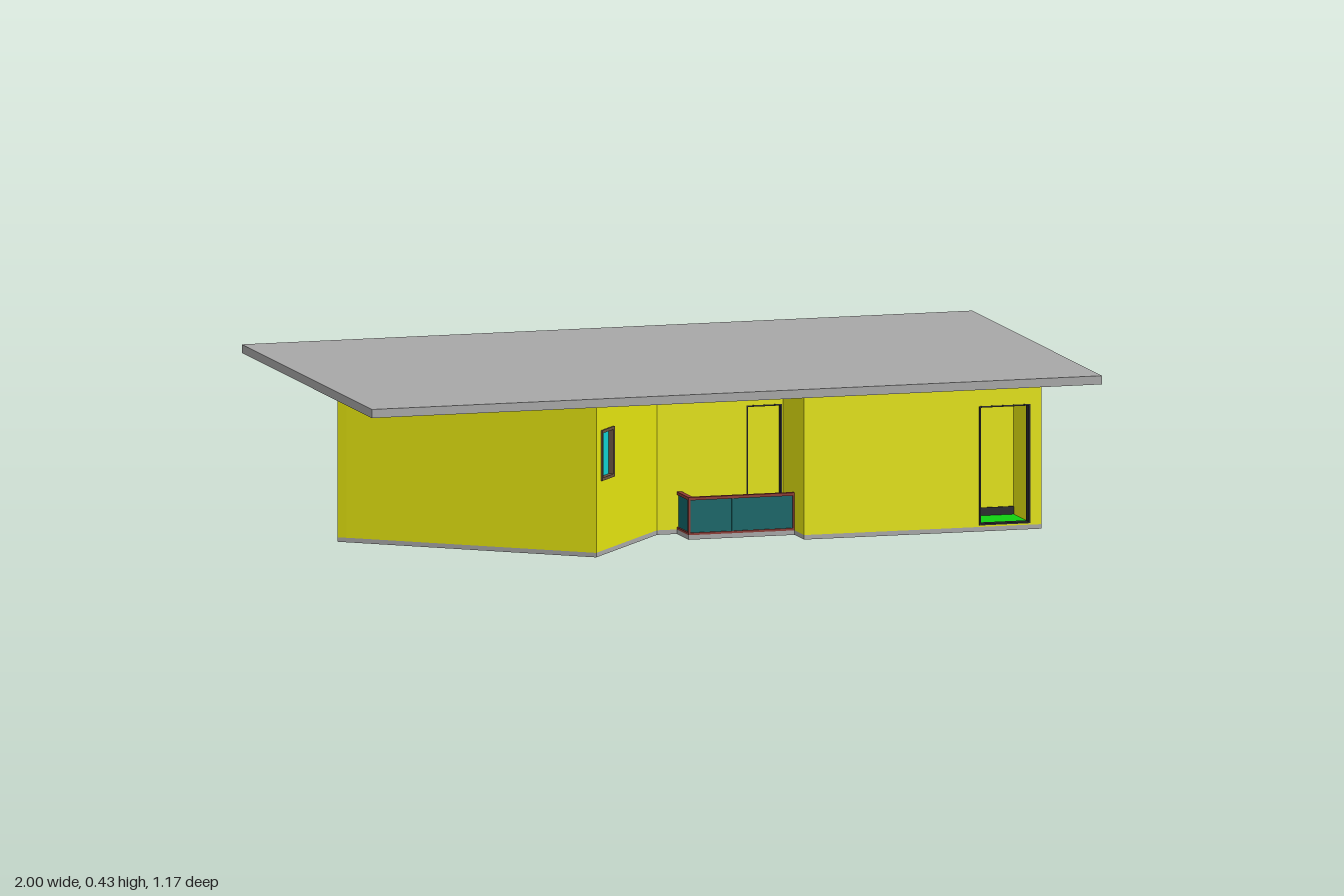
import * as THREE from 'three';

const mat = (color) => new THREE.MeshStandardMaterial({ color });
const YELLOW = mat(0xe4e410), GREY = mat(0xa8a8a8), GLASS = mat(0x10d2d2), FRAME = mat(0x6b5540);
const DARK = mat(0x26262a), GREEN = mat(0x10d010), RAIL = mat(0x8c3a34), PANEL = mat(0x0f6668);

const SLAB = 0.012, EAVE = 0.405, ROOF = 0.428, T = 0.025;

// Plan corners [x, z], walked so that each wall runs left to right seen from outside
const B = [-0.94, 0.08], A = [-0.37, 0.535], E = [-0.105, 0.21], G = [0.24, 0.21], H = [0.24, 0.4];
const I = [0.89, 0.4], J = [0.89, -0.415], F = [-0.4, -0.415], D = [-0.557, -0.22], C = [-0.635, -0.285];

function box(parent, name, material, x0, x1, y0, y1, z0, z1) {
  const mesh = new THREE.Mesh(new THREE.BoxGeometry(x1 - x0, y1 - y0, z1 - z0), material);
  mesh.position.set((x0 + x1) / 2, (y0 + y1) / 2, (z0 + z1) / 2);
  mesh.name = name;
  parent.add(mesh);
  return mesh;
}

// Border bars around an opening, in wall coordinates
function border(parent, material, { x0, x1, y0, y1 }, w, z0, z1) {
  box(parent, 'frameLeft', material, x0, x0 + w, y0, y1, z0, z1);
  box(parent, 'frameRight', material, x1 - w, x1, y0, y1, z0, z1);
  box(parent, 'frameTop', material, x0, x1, y1 - w, y1, z0, z1);
  box(parent, 'frameBottom', material, x0, x1, y0, y0 + w, z0, z1);
}

function addWindow(wall, o) {
  const g = new THREE.Group();
  g.name = 'window';
  border(g, FRAME, o, 0.008, -T, 0.004);
  box(g, 'glass', GLASS, o.x0, o.x1, o.y0, o.y1, -0.016, -0.01);
  for (let i = 1; i < o.panes; i++) {
    const x = o.x0 + ((o.x1 - o.x0) * i) / o.panes;
    box(g, 'mullion', FRAME, x - 0.003, x + 0.003, o.y0, o.y1, -0.02, -0.003);
  }
  if (o.panes > 1) box(g, 'transom', FRAME, o.x0, o.x1, 0.272, 0.279, -0.02, -0.003);
  wall.add(g);
}

function addDoor(wall, o) {
  const g = new THREE.Group();
  g.name = 'doorway';
  border(g, DARK, o, 0.004, -T, 0.001);
  if (o.closed) box(g, 'doorLeaf', YELLOW, o.x0, o.x1, o.y0, o.y1, -0.02, -0.012);
  wall.add(g);
}

// Wall from corner a to corner b, outer face at local z = 0, with openings cut through
function addWall(house, name, a, b, openings = []) {
  const dx = b[0] - a[0], dz = b[1] - a[1], len = Math.hypot(dx, dz);
  const shape = new THREE.Shape();
  shape.moveTo(0, SLAB).lineTo(len, SLAB).lineTo(len, EAVE).lineTo(0, EAVE).closePath();
  const wall = new THREE.Group();
  wall.name = name;
  for (const o of openings) {
    const hole = new THREE.Path();
    hole.moveTo(o.x0, o.y0).lineTo(o.x0, o.y1).lineTo(o.x1, o.y1).lineTo(o.x1, o.y0).closePath();
    shape.holes.push(hole);
    (o.door ? addDoor : addWindow)(wall, o);
  }
  const geo = new THREE.ExtrudeGeometry(shape, { depth: T, bevelEnabled: false });
  geo.translate(0, 0, -T);
  const mesh = new THREE.Mesh(geo, YELLOW);
  mesh.name = name + 'Panel';
  wall.add(mesh);
  wall.position.set(a[0], 0, a[1]);
  wall.rotation.y = Math.atan2(-dz, dx);
  house.add(wall);
}

const tall = (x0, x1, panes) => ({ x0, x1, y0: 0.1, y1: 0.335, panes });
const small = (x0, x1) => ({ x0, x1, y0: 0.198, y1: 0.332, panes: 1 });
const door = (x0, x1, closed) => ({ x0, x1, y0: 0.016, y1: 0.332, door: true, closed });

export function createModel() {
  const house = new THREE.Group();
  house.name = 'house';

  // Flat overhanging roof
  box(house, 'roof', GREY, -1, 1, EAVE, ROOF, -0.586, 0.586);

  // Floor slab following the plan, including the balcony
  const plan = [B, A, E, [-0.05, 0.21], [-0.05, 0.315], [0.24, 0.315], H, I, J, F, D, C];
  const slabShape = new THREE.Shape(plan.map(([x, z]) => new THREE.Vector2(x, -z)));
  const slabGeo = new THREE.ExtrudeGeometry(slabShape, { depth: SLAB, bevelEnabled: false });
  slabGeo.rotateX(-Math.PI / 2);
  const slab = new THREE.Mesh(slabGeo, GREY);
  slab.name = 'floorSlab';
  house.add(slab);

  // Angled wing
  addWall(house, 'wingFrontWall', B, A);
  addWall(house, 'wingInnerWall', A, E, [small(0.033, 0.118)]);
  addWall(house, 'wingLinkWall', F, D, [small(0.1, 0.175)]);
  addWall(house, 'wingReturnWall', D, C);
  addWall(house, 'wingBackWall', C, B, [tall(0.095, 0.385, 3)]);

  // Main body; back wall runs from x = 0.89 towards -x
  addWall(house, 'recessWall', E, G, [door(0.245, 0.342, true)]);
  addWall(house, 'recessSideWall', G, H);
  addWall(house, 'entranceWall', H, I, [door(0.48, 0.62, false)]);
  addWall(house, 'sideWall', I, J);
  addWall(house, 'backWall', J, F, [tall(0.075, 0.355, 3), tall(0.51, 0.654, 2), tall(0.813, 1.087, 3)]);

  // Entrance lobby seen through the open doorway
  box(house, 'lobbySideWall', GREEN, 0.69, 0.71, SLAB, EAVE, 0.23, 0.375);
  box(house, 'lobbyBackWall', YELLOW, 0.69, 0.865, SLAB, EAVE, 0.2, 0.23);
  box(house, 'lobbySkirting', DARK, 0.71, 0.865, SLAB, 0.036, 0.23, 0.234);
  box(house, 'lobbyFloor', GREEN, 0.71, 0.865, SLAB, 0.015, 0.23, 0.375);

  // Balcony with panelled railing
  const balcony = new THREE.Group();
  balcony.name = 'balcony';
  box(balcony, 'frontPanel', PANEL, -0.046, 0.24, 0.018, 0.105, 0.306, 0.311);
  box(balcony, 'sidePanel', PANEL, -0.046, -0.041, 0.018, 0.105, 0.21, 0.311);
  for (const [y0, y1, n] of [[0.104, 0.112, 'topRail'], [SLAB, 0.018, 'bottomRail']]) {
    box(balcony, n + 'Front', RAIL, -0.05, 0.24, y0, y1, 0.302, 0.315);
    box(balcony, n + 'Side', RAIL, -0.05, -0.037, y0, y1, 0.21, 0.302);
  }
  for (const x of [-0.05, 0.069, 0.236])
    box(balcony, 'railingPost', x === 0.069 ? PANEL : RAIL, x, x + 0.005, SLAB, 0.106, 0.303, 0.314);
  house.add(balcony);

  return house;
}
